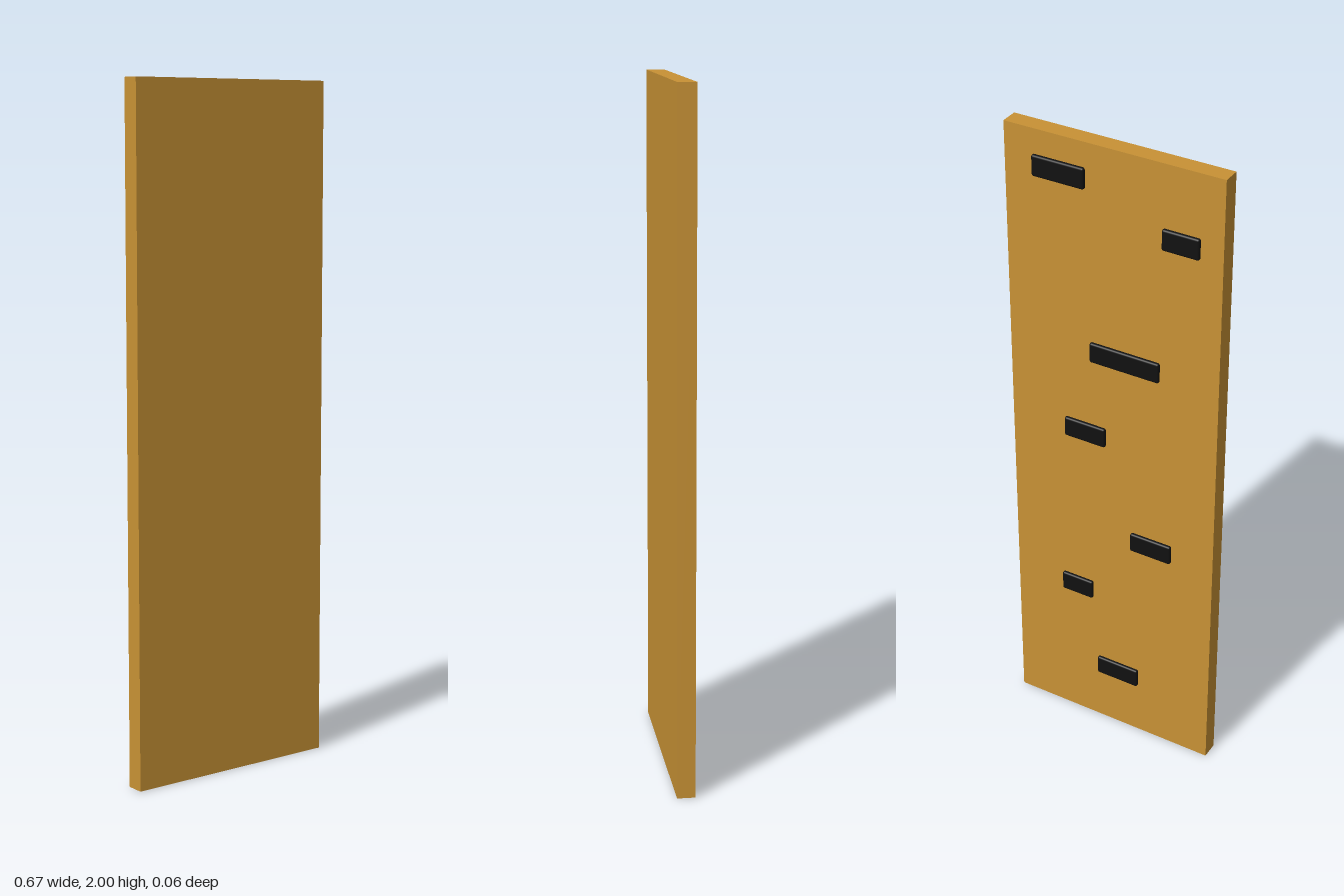
import * as THREE from 'three';
import { RoundedBoxGeometry } from 'three/addons/geometries/RoundedBoxGeometry.js';

export function createModel() {
  const group = new THREE.Group();
  group.name = 'board';

  const wood = new THREE.MeshStandardMaterial({ color: 0xc89235 });
  wood.name = 'wood';
  const black = new THREE.MeshStandardMaterial({ color: 0x111111 });
  black.name = 'black';

  // Plain upright panel
  const backZ = -0.023, frontZ = 0.03;
  const panel = new THREE.Mesh(new THREE.BoxGeometry(0.666, 2, frontZ - backZ), wood);
  panel.name = 'panel';
  panel.position.set(0, 1, (frontZ + backZ) / 2);
  group.add(panel);

  // Rounded bars half sunk into the back: [x from, x to, centre height]
  const bars = [
    [0.083, 0.245, 1.894],
    [-0.265, -0.153, 1.781],
    [-0.15, 0.07, 1.36],
    [0.022, 0.155, 1.082],
    [-0.197, -0.063, 0.742],
    [0.067, 0.172, 0.503],
    [-0.09, 0.05, 0.213],
  ];
  bars.forEach(([x0, x1, y], i) => {
    const bar = new THREE.Mesh(new RoundedBoxGeometry(x1 - x0, 0.063, 0.02, 3, 0.006), black);
    bar.name = `backBar${i + 1}`;
    bar.position.set((x0 + x1) / 2, y, backZ);
    group.add(bar);
  });

  return group;
}
